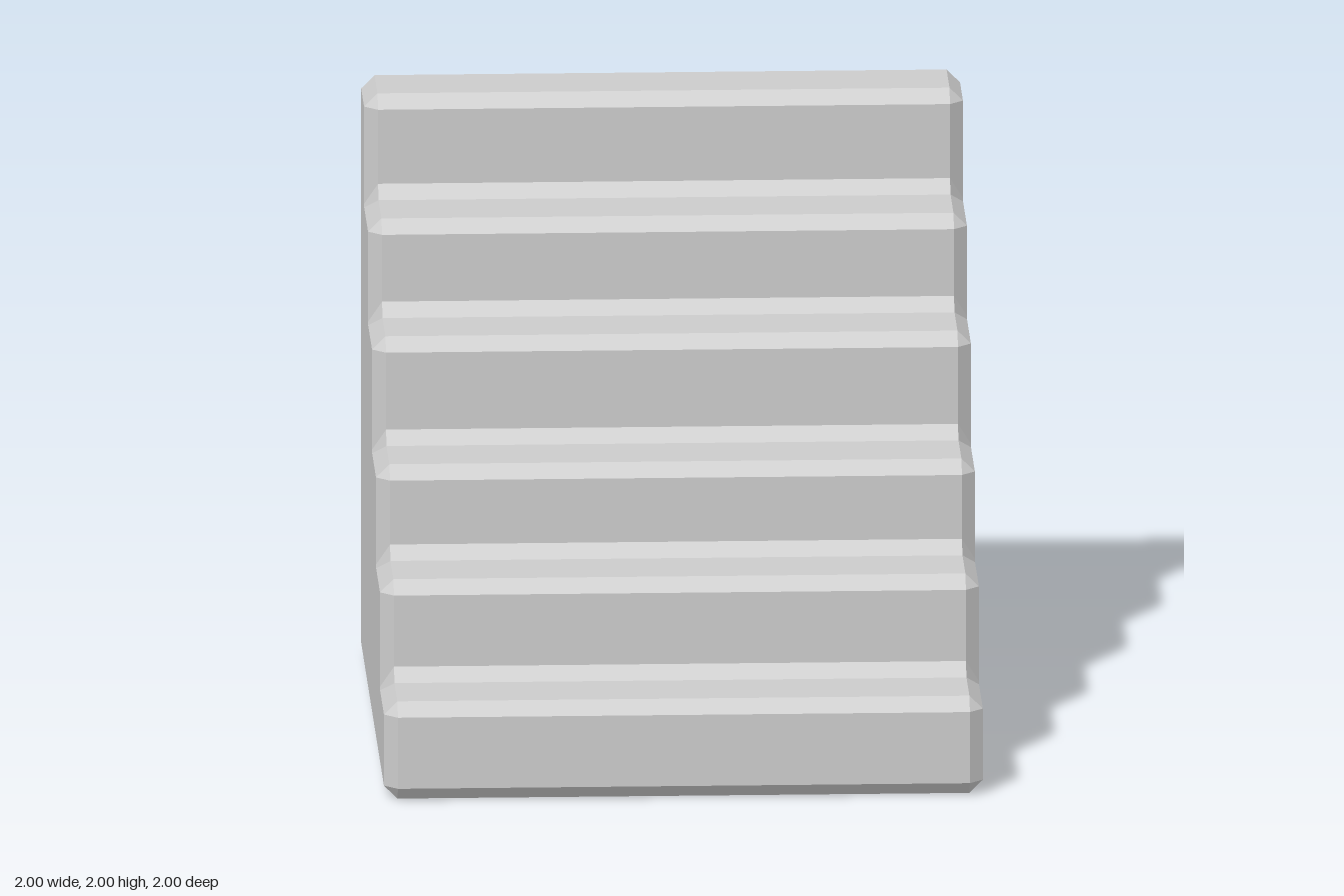
import * as THREE from 'three';

const BEVEL = 0.045;   // chamfer along every edge
const CREASE = 0.01;   // small remaining chamfer in the inner corners of the side faces
const TREADS = [0.335, 0.67, 0.98, 1.335, 1.655, 2];

// Sharp stair outline as (z, y) corners, counter-clockwise from the front foot
function stairCorners() {
  const corners = [new THREE.Vector2(1, 0)];
  TREADS.forEach((y, i) => {
    corners.push(new THREE.Vector2(1 - i / 3, y));
    corners.push(new THREE.Vector2(1 - (i + 1) / 3, y));
  });
  corners.push(new THREE.Vector2(-1, 0));
  return corners;
}

// Each corner becomes two points on the chamfered outline and two on the inset side face
function bevelOutlines(corners) {
  const outer = [], inner = [];
  const n = corners.length;
  corners.forEach((p, i) => {
    const dIn = p.clone().sub(corners[(i + n - 1) % n]).normalize();
    const dOut = corners[(i + 1) % n].clone().sub(p).normalize();
    const convex = dIn.cross(dOut) > 0;
    const s = convex ? BEVEL : -BEVEL;
    const c = convex ? 0 : CREASE;
    const q = p.clone().addScaledVector(dOut, s).addScaledVector(dIn, -s);
    outer.push(p.clone().addScaledVector(dIn, -BEVEL), p.clone().addScaledVector(dOut, BEVEL));
    inner.push(q.clone().addScaledVector(dIn, -c), q.clone().addScaledVector(dOut, c));
  });
  return { outer, inner };
}

function stairGeometry() {
  const { outer, inner } = bevelOutlines(stairCorners());
  const ring = (pts, x) => pts.map((p) => new THREE.Vector3(x, p.y, p.x));
  const rings = [ring(inner, -1), ring(outer, BEVEL - 1), ring(outer, 1 - BEVEL), ring(inner, 1)];
  const positions = [];
  const tri = (a, b, c) => {
    if (new THREE.Triangle(a, b, c).getArea() < 1e-7) return;
    for (const v of [a, b, c]) positions.push(v.x, v.y, v.z);
  };

  // Treads, risers, back, base and the bevels beside them
  for (let r = 0; r < 3; r++) {
    const A = rings[r], B = rings[r + 1];
    for (let i = 0; i < A.length; i++) {
      const j = (i + 1) % A.length;
      tri(A[i], B[i], B[j]);
      tri(A[i], B[j], A[j]);
    }
  }

  // Flat side faces, without the doubled points at outer corners
  const face = inner.filter((p, i) => i === 0 || p.distanceTo(inner[i - 1]) > 1e-5);
  const left = ring(face, 1), right = ring(face, -1);
  for (const [a, b, c] of THREE.ShapeUtils.triangulateShape(face, [])) {
    tri(right[a], right[b], right[c]);
    tri(left[a], left[c], left[b]);
  }

  const geometry = new THREE.BufferGeometry();
  geometry.setAttribute('position', new THREE.Float32BufferAttribute(positions, 3));
  geometry.computeVertexNormals();
  return geometry;
}

export function createModel() {
  const group = new THREE.Group();
  group.name = 'staircase';
  const material = new THREE.MeshStandardMaterial({ color: 0xcccccc, flatShading: true });
  const stairs = new THREE.Mesh(stairGeometry(), material);
  stairs.name = 'steps';
  group.add(stairs);
  return group;
}
